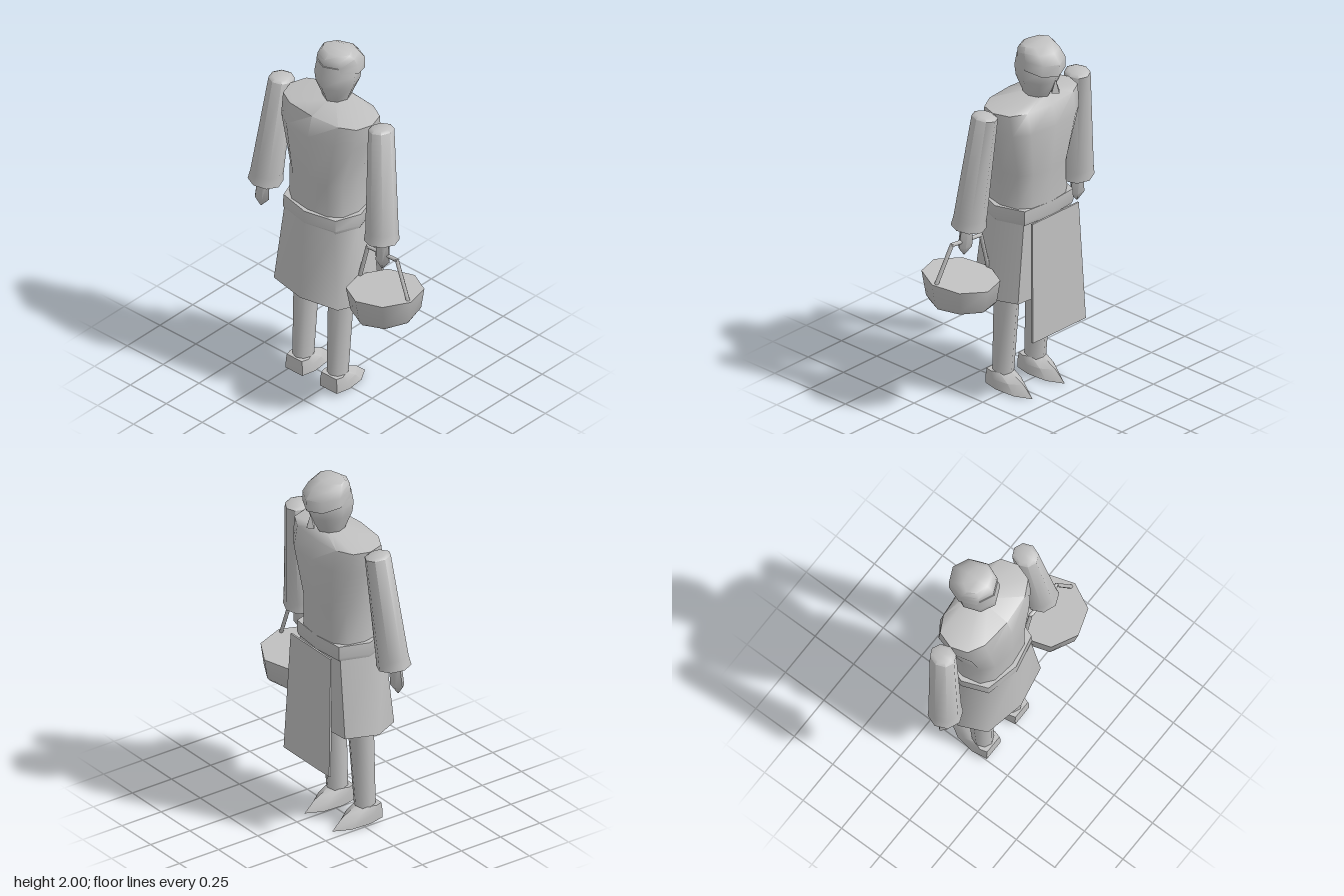
import * as THREE from 'three';
import { toCreasedNormals } from 'three/addons/utils/BufferGeometryUtils.js';

const MID = -0.07; // body centre line in x

export function createModel() {
  const model = new THREE.Group();
  const grey = new THREE.MeshStandardMaterial({ color: 0xc0c0c0 });
  grey.name = 'clay grey';

  function add(name, geometry) {
    const mesh = new THREE.Mesh(geometry, grey);
    mesh.name = name;
    model.add(mesh);
    return mesh;
  }

  // Unit outline in x and z; power below 1 makes it boxier
  function oval(sides, power = 1, turn = 0) {
    const soft = v => Math.sign(v) * Math.abs(v) ** power;
    return Array.from({ length: sides }, (_, i) => {
      const a = turn + (i / sides) * Math.PI * 2;
      return [soft(Math.cos(a)), soft(Math.sin(a))];
    });
  }

  // Closed solid through scaled copies of an outline, listed from bottom to top.
  // level: [y, centre x, centre z, scale x, scale z, slope along x, slope along z]
  function loft(outline, levels, crease = 1) {
    const n = outline.length, pos = [], index = [];
    for (const [y, cx, cz, sx, sz, tx = 0, tz = 0] of levels)
      for (const [u, v] of outline) pos.push(cx + u * sx, y + u * sx * tx + v * sz * tz, cz + v * sz);
    const last = levels.length - 1, bottom = n * levels.length, top = bottom + 1;
    for (const l of [0, last]) pos.push(levels[l][1], levels[l][0], levels[l][2]);
    for (let i = 0; i < n; i++) {
      const j = (i + 1) % n;
      for (let l = 0; l < last; l++) {
        const a = l * n + i, b = l * n + j;
        index.push(a, a + n, b, b, a + n, b + n);
      }
      index.push(bottom, i, j, top, last * n + j, last * n + i);
    }
    const g = new THREE.BufferGeometry();
    g.setAttribute('position', new THREE.Float32BufferAttribute(pos, 3));
    g.setIndex(index);
    return toCreasedNormals(g, crease);
  }

  const octagon = oval(8);

  // Head, tilted cap and nose
  add('head', loft(octagon, [
    [1.68, MID, -0.08, 0.06, 0.06],
    [1.73, MID, -0.085, 0.075, 0.085],
    [1.81, MID, -0.09, 0.108, 0.123],
    [1.87, MID, -0.09, 0.117, 0.128],
    [1.94, MID, -0.09, 0.105, 0.115],
  ]));
  add('cap', loft(octagon, [
    [1.885, MID, -0.111, 0.122, 0.128, 0, 0.24],
    [1.935, MID, -0.112, 0.118, 0.132, 0, 0.1],
    [1.975, MID, -0.095, 0.108, 0.108, 0, 0.03],
    [2.0, MID, -0.082, 0.088, 0.062],
  ]));
  add('nose', loft(oval(4), [
    [1.755, MID, -0.213, 0.03, 0.028],
    [1.82, MID, -0.213, 0.003, 0.004],
  ], 0.3));

  // Torso
  add('torso', loft(oval(12, 0.75), [
    [1.06, MID, -0.02, 0.21, 0.163],
    [1.3, MID, -0.022, 0.204, 0.167],
    [1.56, MID, -0.037, 0.278, 0.18],
    [1.675, MID, -0.04, 0.285, 0.15],
    [1.715, MID, -0.085, 0.07, 0.065],
  ]));

  // Belt and flared skirt share one outline
  const skirtOutline = [[1, 0], [0.77, 0.77], [0, 1], [-0.77, 0.77],
    [-1, 0], [-0.77, -0.9], [0, -1], [0.77, -0.9]];
  add('belt', loft(skirtOutline, [
    [1.025, MID, -0.006, 0.23, 0.172],
    [1.045, MID, -0.006, 0.238, 0.178],
    [1.11, MID, -0.008, 0.235, 0.176],
  ]));
  add('skirt', loft(skirtOutline, [
    [0.585, MID, 0.012, 0.288, 0.188],
    [1.04, MID, 0, 0.225, 0.17],
  ]));

  // Hanging apron panel
  add('apron', loft([[1, 1], [-1, 1], [-1, -1], [1, -1]], [
    [0.38, MID, -0.235, 0.198, 0.006],
    [1.05, MID, -0.209, 0.174, 0.005],
  ], 0.3));

  // Arms, hands, legs and shoes on both sides
  const shoeOutline = [[0.07, 0.03], [0.058, 0.115], [-0.058, 0.115],
    [-0.07, 0.03], [-0.052, -0.08], [0, -0.165], [0.052, -0.08]];
  for (const [side, s] of [['left', 1], ['right', -1]]) {
    const x = d => MID + s * d;
    add(side + 'Sleeve', loft(octagon, [
      [1.045, x(0.405), 0.02, 0.092, 0.092, s * 0.09, 0.08],
      [1.1, x(0.4), 0.013, 0.086, 0.086, s * 0.09, 0.08],
      [1.68, x(0.347), -0.04, 0.064, 0.072, s * 0.09, 0.08],
      [1.692, x(0.346), -0.04, 0.045, 0.05, s * 0.09, 0.08],
    ]));
    add(side + 'Hand', loft(oval(6), [
      [0.885, x(0.422), 0.035, 0.004, 0.004],
      [0.935, x(0.42), 0.03, 0.047, 0.032],
      [1.07, x(0.415), 0.022, 0.037, 0.03],
    ]));
    add(side + 'Leg', loft(octagon, [
      [0.08, x(0.12), 0.045, 0.054, 0.058],
      [0.65, x(0.12), 0.013, 0.063, 0.077],
    ]));
    add(side + 'Shoe', loft(shoeOutline, [
      [0.012, x(0.12), 0, 1, 1, 0, 0.07],
      [0.065, x(0.12), 0.025, 1, 0.77, 0, 0.05],
      [0.105, x(0.12), 0.061, 0.9, 0.44],
    ], 0.8));
  }

  // Basket carried in the left hand, slightly tipped
  add('basket', loft(oval(8, 1, 0.09), [
    [0.615, 0.375, 0.03, 0.165, 0.165, 0.1, -0.02],
    [0.64, 0.375, 0.033, 0.18, 0.185, 0.08, 0.02],
    [0.768, 0.374, 0.037, 0.198, 0.208, 0.06, 0.08],
  ]));

  // Bent rod handle
  const handle = [[0.185, 0.75, 0.022], [0.24, 0.96, 0.022], [0.45, 0.975, 0.03], [0.548, 0.77, 0.05]]
    .map(p => new THREE.Vector3(...p));
  for (let i = 0; i < 3; i++) {
    const dir = handle[i + 1].clone().sub(handle[i]);
    const rod = add('basketHandle', new THREE.CylinderGeometry(0.011, 0.011, dir.length() + 0.012, 6));
    rod.position.copy(handle[i]).addScaledVector(dir, 0.5);
    rod.quaternion.setFromUnitVectors(new THREE.Vector3(0, 1, 0), dir.normalize());
  }

  return model;
}
